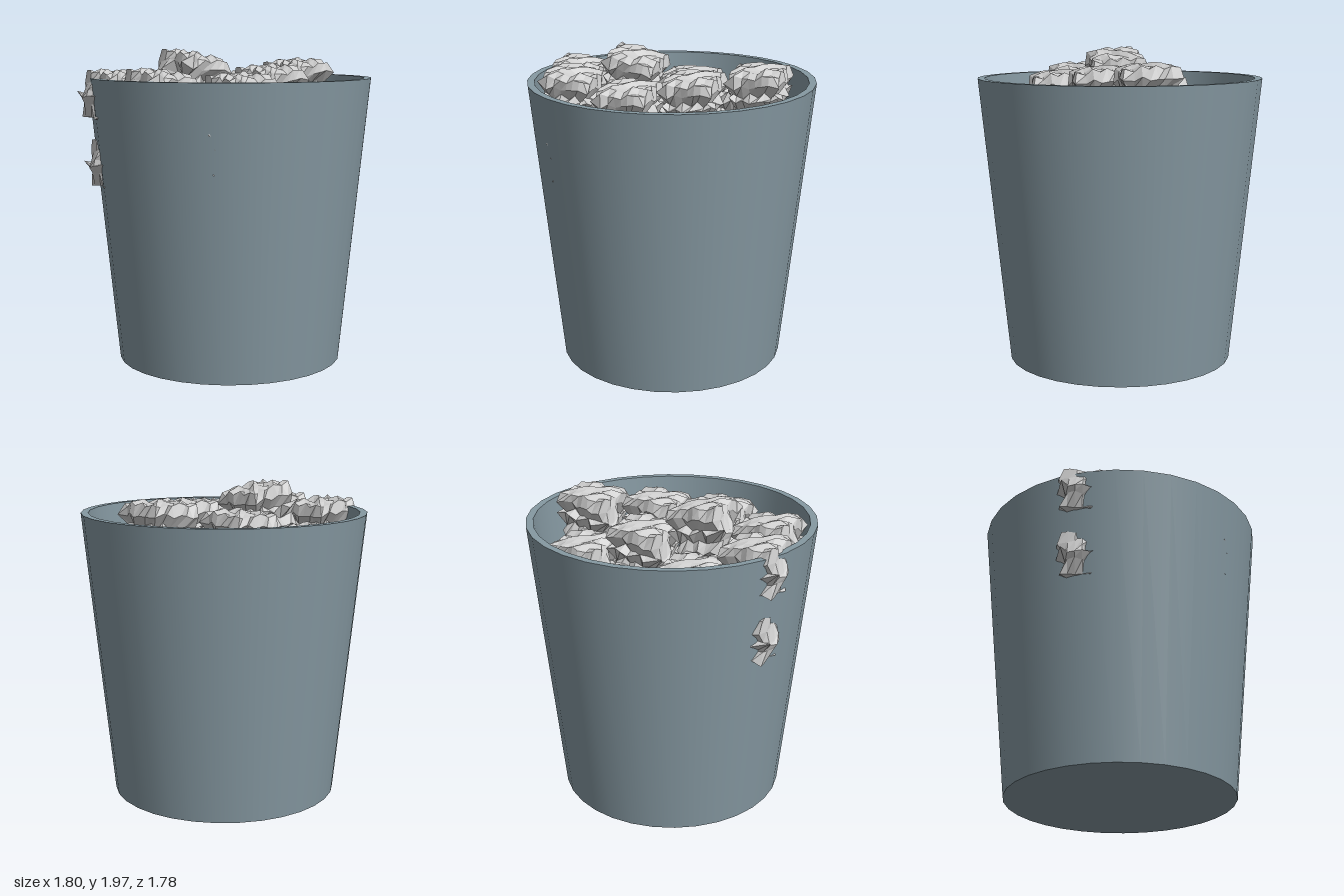
import * as THREE from 'three';
import { mergeGeometries, mergeVertices } from 'three/addons/utils/BufferGeometryUtils.js';

// Repeatable pseudo-random value in -1..1
function seeded(seed) {
  let s = seed;
  return () => {
    s = (s * 16807) % 2147483647;
    return (s / 2147483647) * 2 - 1;
  };
}

// Rough cube of stone: a welded box grid with ragged, ledged sides
function rockGeometry() {
  const W = 0.3, H = 0.3, D = 0.31;
  const box = new THREE.BoxGeometry(W, H, D, 7, 5, 7);
  box.deleteAttribute('normal');
  box.deleteAttribute('uv');
  const geo = mergeVertices(box, 1e-4);
  const p = geo.attributes.position;
  const rnd = seeded(4711);
  const ledge = [0.0, -0.03, 0.012, -0.025, 0.015, 0.0]; // push per level, bottom to top
  for (let i = 0; i < p.count; i++) {
    let x = p.getX(i), y = p.getY(i), z = p.getZ(i);
    const level = Math.round((y / H + 0.5) * 5);
    const onX = Math.abs(x) > W / 2 - 0.001, onZ = Math.abs(z) > D / 2 - 0.001;
    const x0 = x, z0 = z;
    if (onX) x += Math.sign(x) * (ledge[level] + rnd() * 0.018);
    if (onZ) z += Math.sign(z) * (ledge[level] + rnd() * 0.018);
    // stub jutting from the left back corner
    if (onX && x0 < 0 && z0 < 0.02 && level > 0 && level < 4) x -= 0.06 + 0.02 * rnd();
    // rounded upper and lower faces with small steps
    const edge = Math.max(Math.abs(x0) / W, Math.abs(z0) / D) * 2;
    y += rnd() * 0.02 - Math.sign(y) * 0.02 * edge ** 4;
    p.setXYZ(i, x, y, z);
  }
  const flat = geo.toNonIndexed();
  flat.computeVertexNormals();
  return flat;
}

export function createModel() {
  const group = new THREE.Group();
  const bucketMat = new THREE.MeshStandardMaterial({ color: 0x8699a2 });
  const rockMat = new THREE.MeshStandardMaterial({ color: 0xcccccc, flatShading: true });

  // Tapered bucket: base, outer wall, rim, inner wall and floor with sharp edges between
  const profile = [[0, 0], [0.71, 0], [0.89, 1.79], [0.845, 1.79], [0.675, 0.05], [0, 0.05]]
    .map(([r, y]) => new THREE.Vector2(r, y));
  const rings = [];
  for (let i = 0; i < profile.length - 1; i++) {
    rings.push(new THREE.LatheGeometry([profile[i], profile[i + 1]], 32));
  }
  const bucket = new THREE.Mesh(mergeGeometries(rings), bucketMat);
  bucket.name = 'bucket';
  bucket.position.x = 0.02;
  group.add(bucket);

  const geo = rockGeometry();
  const addRock = (name, x, top, z, tiltX = 0, tiltZ = 0) => {
    const rock = new THREE.Mesh(geo, rockMat);
    rock.name = name;
    rock.position.set(x, top - 0.17, z);
    rock.rotation.set(tiltX, 0, tiltZ);
    group.add(rock);
  };

  // Upper rocks: x, top height, z, tilt about x, tilt about z
  const upper = [
    [0.01, 1.64, -0.58, 0, 0],
    [-0.35, 1.72, -0.38, 0, 0],
    [-0.67, 1.85, -0.17, 0.05, -0.08],
    [0.40, 1.72, -0.38, 0, 0],
    [0.08, 1.83, -0.21, 0, 0.05],
    [0.57, 1.91, -0.05, 0.05, 0.06],
    [-0.24, 1.96, -0.03, 0.08, -0.18],
    [0.22, 1.88, 0.16, 0.08, 0.05],
    [-0.57, 1.86, 0.17, 0.06, -0.1],
    [-0.12, 1.84, 0.36, 0.08, 0.04],
    [-0.35, 1.58, 0.51, 0, 0],
  ];
  upper.forEach((r) => addRock('upperRock', ...r));

  // Lower rocks, showing through the gaps of the upper ones
  const lower = [
    [-0.63, 1.44, -0.17],
    [0.22, 1.50, -0.20],
    [0.34, 1.55, 0.13],
    [0.00, 1.52, 0.29],
    [-0.13, 1.60, -0.01],
    [-0.51, 1.50, 0.20],
    [-0.28, 1.38, -0.36],
    [0.38, 1.38, -0.35],
    [0.55, 1.52, -0.04],
  ];
  lower.forEach((r) => addRock('lowerRock', ...r));
  return group;
}
